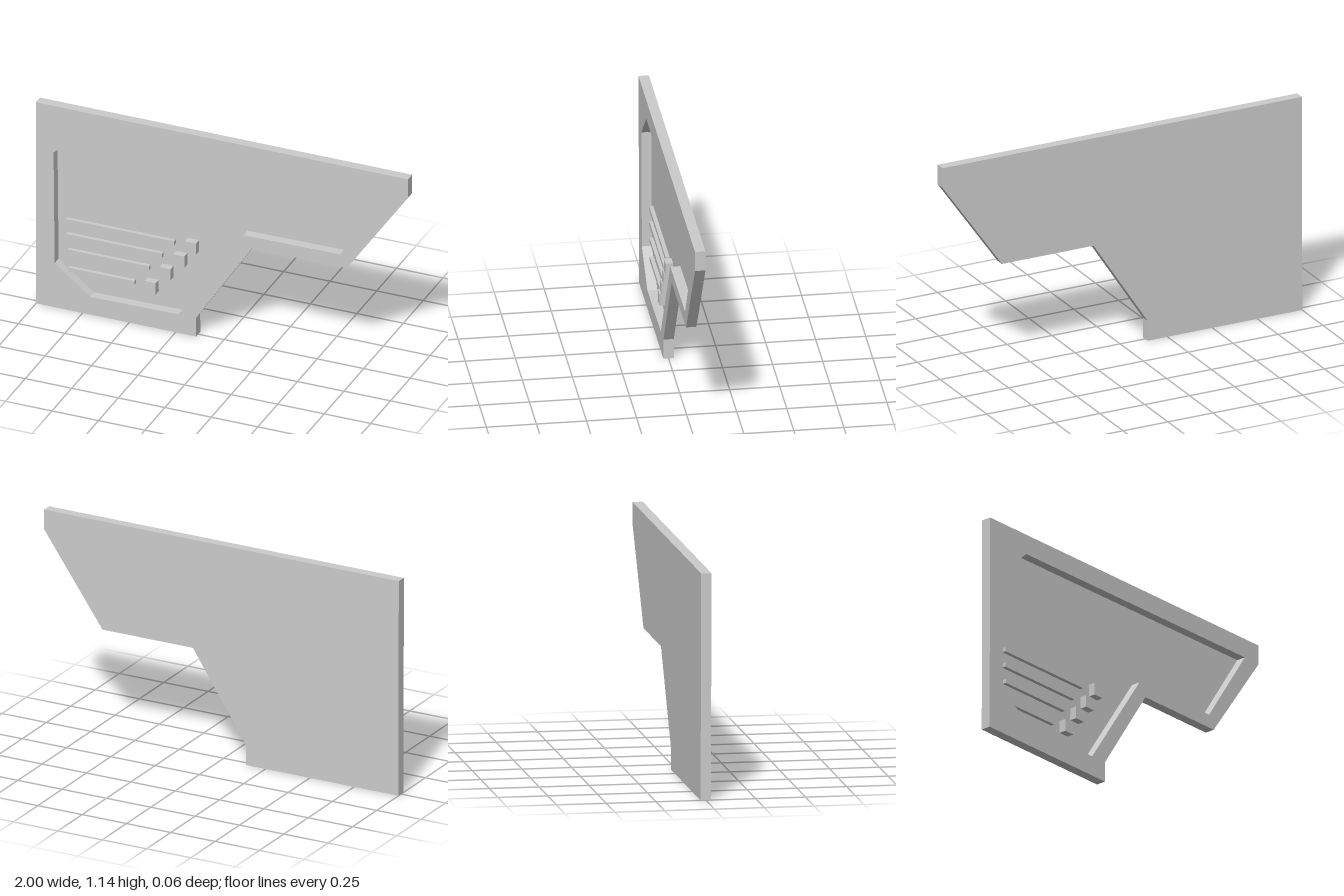
import * as THREE from 'three';

const BACK = -0.026, FRONT = 0.026, FLOOR = -0.024;

const outline = [[-1, 0], [-0.14, 0], [-0.14, 0.105], [0.16, 0.565], [0.67, 0.565], [1, 1.035], [1, 1.14], [-1, 1.14]];
const recess = [[-0.71, 0.1], [-0.235, 0.105], [0.115, 0.63], [0.635, 0.635], [0.9, 1.04], [-0.73, 1.035], [-0.905, 0.875], [-0.9, 0.25]];
const points = list => list.map(([x, y]) => new THREE.Vector2(x, y));

export function createModel() {
  const model = new THREE.Group();
  model.name = 'recessedPanel';
  const material = new THREE.MeshStandardMaterial({ color: 0xcccccc, flatShading: true });

  // Extrude a shape between two depths
  const slab = (name, shape, z0, z1) => {
    const geometry = new THREE.ExtrudeGeometry(shape, { depth: z1 - z0, bevelEnabled: false });
    geometry.translate(0, 0, z0);
    const mesh = new THREE.Mesh(geometry, material);
    mesh.name = name;
    model.add(mesh);
  };

  // Box standing on the recess floor
  const raised = (name, x0, x1, y0, y1, height) => {
    const mesh = new THREE.Mesh(new THREE.BoxGeometry(x1 - x0, y1 - y0, height), material);
    mesh.position.set((x0 + x1) / 2, (y0 + y1) / 2, FLOOR + height / 2);
    mesh.name = name;
    model.add(mesh);
  };

  // Raised rim around the recess
  const rim = new THREE.Shape(points(outline));
  rim.holes.push(new THREE.Path(points(recess)));
  slab('rim', rim, BACK, FRONT);

  // Thin plate closing the recess at the back
  slab('recessFloor', new THREE.Shape(points(recess)), BACK, FLOOR);

  // Slats, each ending in a square block: slat left, slat right, slat y, block x, block y
  const rows = [
    [-0.85, -0.27, 0.484, -0.175, 0.488],
    [-0.85, -0.335, 0.4, -0.238, 0.4],
    [-0.845, -0.405, 0.313, -0.313, 0.311],
    [-0.84, -0.485, 0.211, -0.392, 0.215],
  ];
  rows.forEach(([x0, x1, y, bx, by], i) => {
    raised(`slat${i + 1}`, x0, x1, y - 0.011, y + 0.011, 0.02);
    raised(`block${i + 1}`, bx - 0.03, bx + 0.03, by - 0.032, by + 0.032, 0.038);
  });

  // Very slight forward lean
  model.rotation.x = 0.003;
  model.position.z = -0.0017 + 0.001;
  return model;
}
